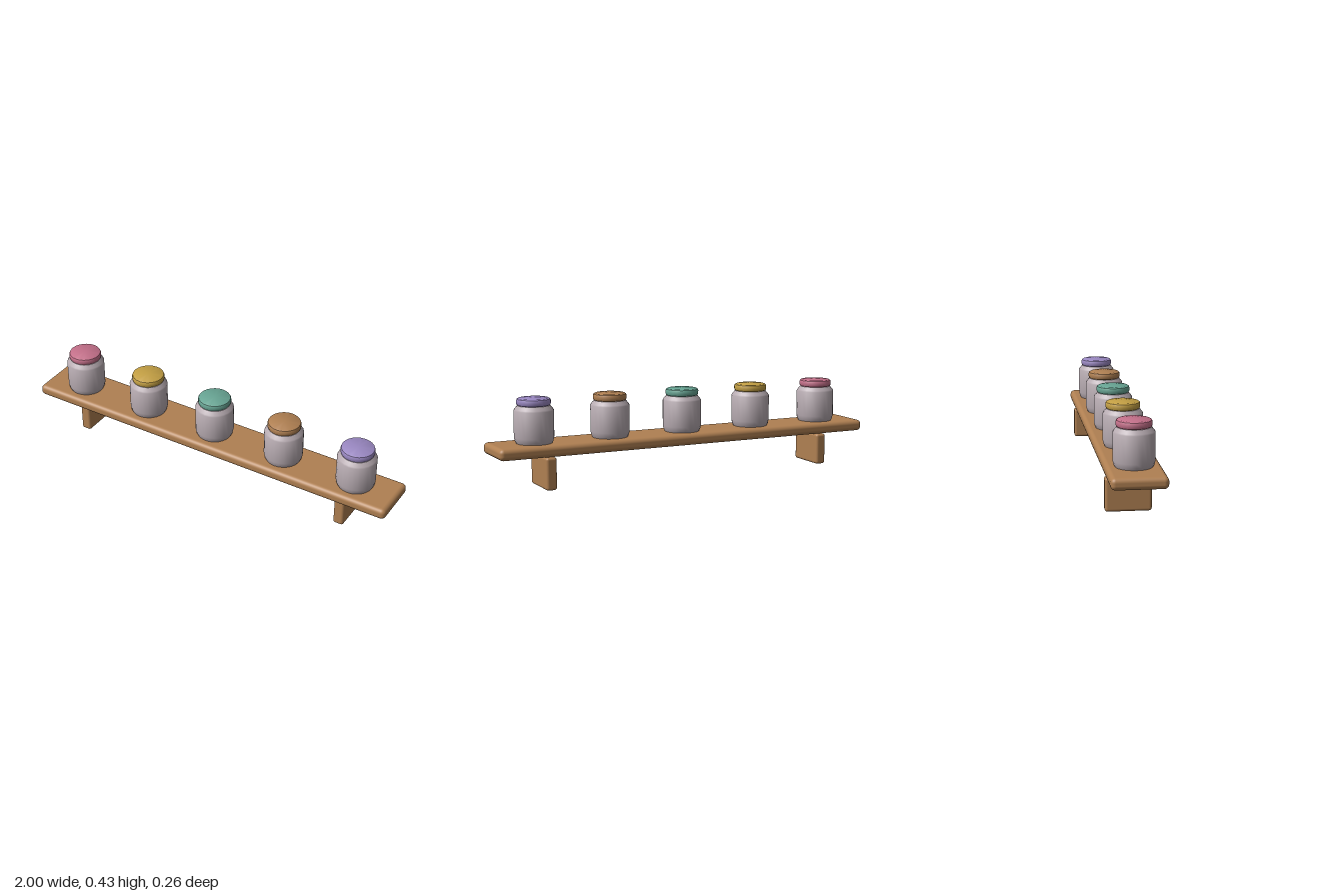
import * as THREE from 'three';
import { RoundedBoxGeometry } from 'three/addons/geometries/RoundedBoxGeometry.js';
import { toCreasedNormals } from 'three/addons/utils/BufferGeometryUtils.js';

const material = (name, color) => {
  const m = new THREE.MeshStandardMaterial({ color });
  m.name = name;
  return m;
};

// Closed turned solid from [radius, height] pairs, bottom to top
const turned = (points) => toCreasedNormals(
  new THREE.LatheGeometry(points.map(([r, y]) => new THREE.Vector2(r, y)), 24), 0.6);

export function createModel() {
  const group = new THREE.Group();
  const wood = material('wood', 0xb08052);
  const glass = material('frosted glass', 0xb8acb2);
  const lids = [
    material('rose', 0xc4708a),
    material('mustard', 0xc4a044),
    material('sea green', 0x68a594),
    wood,
    material('lavender', 0x9a88c2),
  ];

  const add = (parent, name, geometry, mat, x, y, z) => {
    const mesh = new THREE.Mesh(geometry, mat);
    mesh.name = name;
    mesh.position.set(x, y, z);
    parent.add(mesh);
  };

  // Shelf board
  add(group, 'board', new RoundedBoxGeometry(2, 0.056, 0.256, 3, 0.022), wood, 0, 0.187, 0);

  // Brackets, flush with the back of the board
  const bracket = new RoundedBoxGeometry(0.054, 0.158, 0.213, 3, 0.013);
  for (const side of [-1, 1]) {
    add(group, side > 0 ? 'leftBracket' : 'rightBracket', bracket, wood, side * 0.747, 0.08, -0.0215);
  }

  // Jars with a bevelled foot and shoulder, and rounded lids
  const body = turned([
    [0, 0], [0.086, 0], [0.092, 0.012], [0.096, 0.03],
    [0.096, 0.157], [0.092, 0.164], [0.078, 0.181], [0, 0.181],
  ]);
  const lid = turned([
    [0, 0], [0.072, 0], [0.079, 0.004], [0.082, 0.011],
    [0.082, 0.025], [0.079, 0.032], [0.072, 0.036], [0, 0.036],
  ]);
  lids.forEach((lidMaterial, i) => {
    const jar = new THREE.Group();
    jar.name = 'jar' + (i + 1);
    jar.position.set((i - 2) * 0.393, 0.214, 0);
    add(jar, 'jarBody', body, glass, 0, 0, 0);
    add(jar, 'jarLid', lid, lidMaterial, 0, 0.18, 0);
    group.add(jar);
  });

  return group;
}
